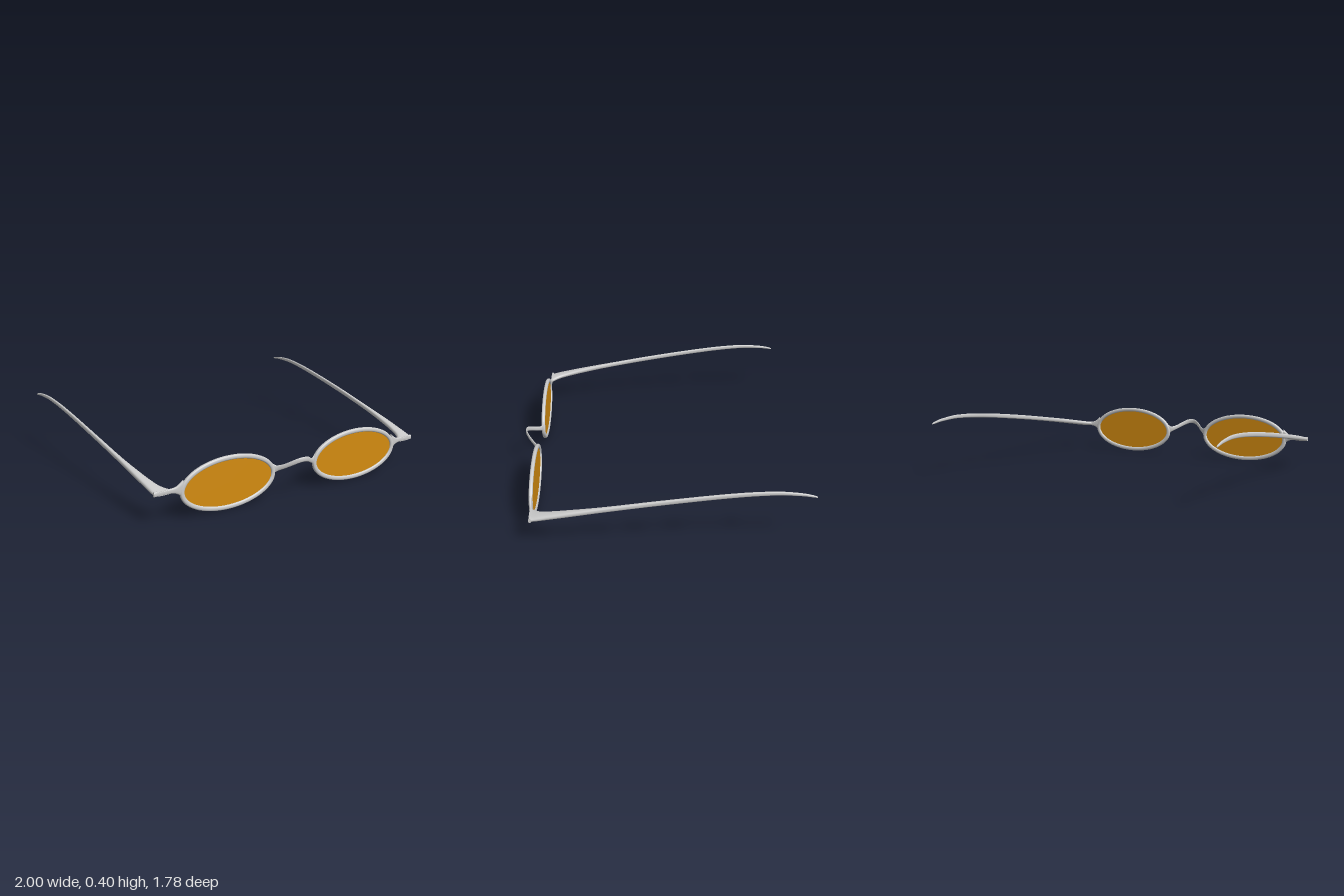
import * as THREE from 'three';

const V = (x, y, z) => new THREE.Vector3(x, y, z);
const metal = new THREE.MeshStandardMaterial({ color: 0xcccccc });
const amber = new THREE.MeshStandardMaterial({ color: 0xd48c10 });
const LENS = { x: 0.4625, y: 0.166, z: 0.7875, rx: 0.309, ry: 0.152 };

// Skin a row of sections { c, a, b }: centre and two half-axes, with a x b along the path.
function loft(sections, { closed = false, flip = false, power = 1, sides = 16 } = {}) {
  const pos = [], index = [], n = sections.length;
  const bend = t => Math.sign(t) * Math.abs(t) ** power;
  const tri = (p, q, r) => flip ? index.push(p, r, q) : index.push(p, q, r);
  for (const { c, a, b } of sections) {
    for (let j = 0; j < sides; j++) {
      const t = (j / sides) * Math.PI * 2;
      const p = c.clone().addScaledVector(a, bend(Math.cos(t))).addScaledVector(b, bend(Math.sin(t)));
      pos.push(p.x, p.y, p.z);
    }
  }
  for (let i = 0; i < (closed ? n : n - 1); i++) {
    for (let j = 0; j < sides; j++) {
      const k = (j + 1) % sides, p = i * sides, q = ((i + 1) % n) * sides;
      tri(p + j, p + k, q + k);
      tri(p + j, q + k, q + j);
    }
  }
  // End caps have their own vertices so their edges stay sharp
  if (!closed) {
    for (const [row, end] of [[0, false], [n - 1, true]]) {
      const base = pos.length / 3;
      pos.push(...pos.slice(row * sides * 3, (row + 1) * sides * 3));
      for (let j = 1; j < sides - 1; j++) {
        if (end) tri(base, base + j, base + j + 1);
        else tri(base, base + j + 1, base + j);
      }
    }
  }
  const g = new THREE.BufferGeometry();
  g.setAttribute('position', new THREE.Float32BufferAttribute(pos, 3));
  g.setIndex(index);
  g.computeVertexNormals();
  return g;
}

// Smoothly resample rows of [station, value, value, ...] given in order
function resample(rows, steps) {
  const at = (i, k) => rows[Math.min(Math.max(i, 0), rows.length - 1)][k];
  const out = [];
  for (let i = 0; i < rows.length - 1; i++) {
    for (let s = 0; s < steps; s++) {
      const t = s / steps;
      out.push(rows[i].map((_, k) => {
        const h = at(i + 1, 0) - at(i, 0);
        const slope = j => (at(j + 1, k) - at(j - 1, k)) / (at(j + 1, 0) - at(j - 1, 0));
        const t2 = t * t, t3 = t2 * t;
        return (2 * t3 - 3 * t2 + 1) * at(i, k) + (t3 - 2 * t2 + t) * h * slope(i)
          + (3 * t2 - 2 * t3) * at(i + 1, k) + (t3 - t2) * h * slope(i + 1);
      }));
    }
  }
  out.push(rows[rows.length - 1]);
  return out;
}

function rimGeometry() {
  const sections = [];
  for (let i = 0; i < 72; i++) {
    const t = (i / 72) * Math.PI * 2;
    const out = V(Math.cos(t) / LENS.rx, Math.sin(t) / LENS.ry, 0).normalize();
    sections.push({
      c: V(LENS.rx * Math.cos(t), LENS.ry * Math.sin(t), 0),
      a: V(0, 0, 0.0125), b: out.multiplyScalar(0.014),
    });
  }
  return loft(sections, { closed: true, power: 0.8 });
}

function bridgeGeometry() {
  // x, y, z, half height
  const half = [
    [0, 0.247, 0.883, 0.015], [0.03, 0.243, 0.877, 0.015], [0.065, 0.225, 0.855, 0.014],
    [0.1, 0.203, 0.824, 0.014], [0.13, 0.19, 0.798, 0.018], [0.155, 0.187, 0.786, 0.034],
  ];
  const rows = resample([...half.slice(1).reverse().map(([x, ...r]) => [-x, ...r]), ...half], 5);
  const sections = rows.map(([x, y, z, h], i) => {
    const p = rows[Math.max(i - 1, 0)], q = rows[Math.min(i + 1, rows.length - 1)];
    const t = V(q[0] - p[0], q[1] - p[1], q[2] - p[2]).normalize();
    const b = t.clone().cross(V(0, 1, 0)).normalize();
    const a = b.clone().cross(t);
    return { c: V(x, y, z), a: a.multiplyScalar(h), b: b.multiplyScalar(0.005) };
  });
  return loft(sections);
}

function endPieceGeometry(side) {
  // x, bottom, top, back, front
  const rows = resample([
    [0.765, 0.135, 0.243, 0.777, 0.798], [0.785, 0.154, 0.225, 0.777, 0.797],
    [0.81, 0.169, 0.209, 0.776, 0.793], [0.84, 0.174, 0.203, 0.773, 0.788],
    [0.945, 0.174, 0.203, 0.77, 0.786],
  ], 4);
  return loft(rows.map(([x, lo, hi, back, front]) => ({
    c: V(side * x, (lo + hi) / 2, (back + front) / 2),
    a: V(0, (hi - lo) / 2, 0), b: V(0, 0, (front - back) / 2),
  })), { flip: side < 0, power: 0.7 });
}

function templeGeometry(side) {
  // z, inner x, outer x, centre y, half height
  const rows = resample([
    [0.785, 0.815, 0.947, 0.188, 0.014], [0.765, 0.84, 0.947, 0.19, 0.015],
    [0.73, 0.866, 0.949, 0.196, 0.016], [0.68, 0.884, 0.951, 0.205, 0.016],
    [0.55, 0.908, 0.956, 0.228, 0.016], [0.35, 0.932, 0.961, 0.261, 0.015],
    [0, 0.953, 0.973, 0.315, 0.015], [-0.4, 0.969, 0.986, 0.367, 0.014],
    [-0.65, 0.979, 0.994, 0.385, 0.012], [-0.8, 0.985, 0.998, 0.377, 0.009],
    [-0.87, 0.989, 1, 0.365, 0.006], [-0.888, 0.992, 0.999, 0.36, 0.003],
  ], 4);
  return loft(rows.map(([z, xi, xo, y, h]) => ({
    c: V(side * (xi + xo) / 2, y, z), a: V(0, h, 0), b: V(side * (xo - xi) / 2, 0, 0),
  })), { flip: side < 0, power: 0.75 });
}

export function createModel() {
  const model = new THREE.Group();
  model.name = 'glasses';
  const add = (name, geometry, material = metal) => {
    const mesh = new THREE.Mesh(geometry, material);
    mesh.name = name;
    model.add(mesh);
    return mesh;
  };

  add('bridge', bridgeGeometry());
  for (const [label, side] of [['left', 1], ['right', -1]]) {
    add(label + 'Rim', rimGeometry()).position.set(side * LENS.x, LENS.y, LENS.z);

    // Thin flat lens seated inside the rim
    const disc = new THREE.CylinderGeometry(1, 1, 0.006, 72).rotateX(Math.PI / 2);
    disc.scale(LENS.rx - 0.003, LENS.ry - 0.003, 1);
    add(label + 'Lens', disc, amber).position.set(side * LENS.x, LENS.y, LENS.z);

    add(label + 'EndPiece', endPieceGeometry(side));
    add(label + 'Temple', templeGeometry(side));
  }
  return model;
}
